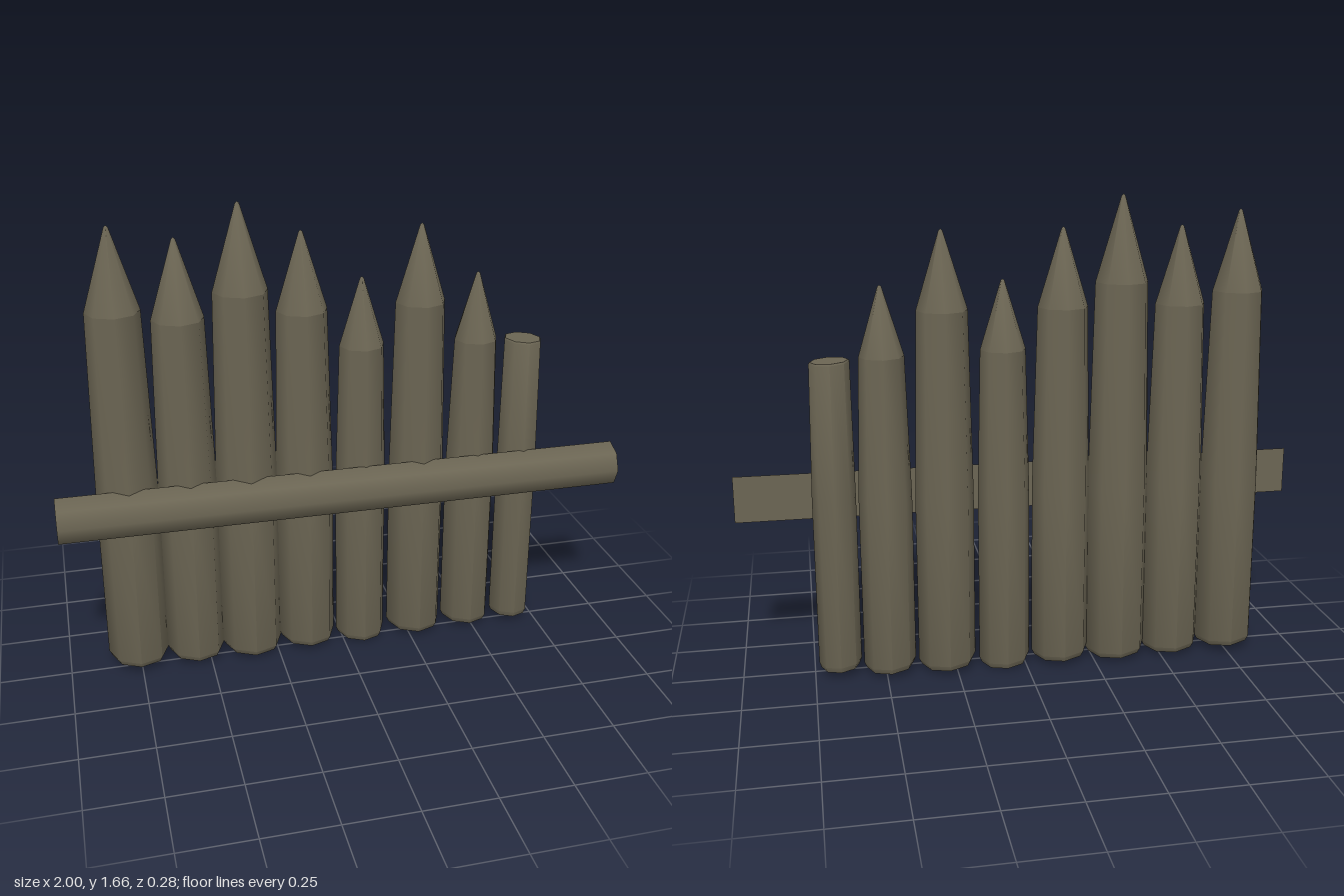
import * as THREE from 'three';
import { toCreasedNormals } from 'three/addons/utils/BufferGeometryUtils.js';

const wood = new THREE.MeshStandardMaterial({ color: 0x6b6553 });
wood.name = 'weatheredWood';

// Each stake: base x, base z, base radius, bottom y, shoulder x, shoulder radius, shoulder y, tip y (0 = sawn flat)
const STAKES = [
  [-0.755, -0.03, 0.107, 0.03, -0.76, 0.091, 1.33, 1.61],
  [-0.547, -0.03, 0.103, 0.02, -0.552, 0.088, 1.29, 1.56],
  [-0.34, -0.029, 0.109, 0.016, -0.343, 0.093, 1.37, 1.665],
  [-0.132, -0.03, 0.103, 0.02, -0.137, 0.088, 1.29, 1.56],
  [0.072, -0.03, 0.091, 0.005, 0.071, 0.079, 1.15, 1.39],
  [0.28, -0.03, 0.102, 0.018, 0.278, 0.088, 1.29, 1.56],
  [0.485, -0.03, 0.092, 0.02, 0.484, 0.077, 1.14, 1.38],
  [0.66, -0.012, 0.075, 0.025, 0.658, 0.068, 1.13, 0],
];

function solid(profile, place) {
  const geo = new THREE.LatheGeometry(profile.map(([r, y]) => new THREE.Vector2(r, y)), 8);
  const p = geo.attributes.position;
  for (let i = 0; i < p.count; i++) p.setXYZ(i, ...place(p.getX(i), p.getY(i), p.getZ(i)));
  return toCreasedNormals(geo, 0.81);
}

function makeStake([x0, z0, r0, y0, x1, r1, y1, tip]) {
  const stake = new THREE.Group();
  stake.name = 'stake';
  // lean the upper part slightly and tilt the sawn ends
  const place = (x, y, z) => {
    const t = THREE.MathUtils.clamp((y - 0.65) / (y1 - 0.65), 0, 1);
    const sawn = y < 0.1 || (!tip && y > y1 - 0.1);
    return [x + x0 + (x1 - x0) * t, y - (sawn ? 0.05 * x : 0), z + z0 + 0.01 * t * (tip ? 1 : 0)];
  };
  const profile = [[0, y0], [r0 * 0.9, y0], [r0, y0 + 0.02], [r0, 0.65], [r1, y1 - (tip ? 0 : 0.006)]];
  if (!tip) profile.push([r1 * 0.95, y1], [0, y1]);
  const shaft = new THREE.Mesh(solid(profile, place), wood);
  shaft.name = 'stakeShaft';
  stake.add(shaft);
  if (tip) {
    const point = new THREE.Mesh(solid([[r1, y1], [0.007, tip - 0.006], [0, tip]], place), wood);
    point.name = 'stakePoint';
    stake.add(point);
  }
  return stake;
}

// Half-round log lying across the front, with a flat back
function makeRail() {
  const rail = new THREE.Group();
  rail.name = 'crossRail';
  const log = new THREE.CylinderGeometry(0.083, 0.083, 2, 4, 1, false, -Math.PI / 2, Math.PI);
  log.rotateZ(Math.PI / 2);
  const front = new THREE.Mesh(log, wood);
  front.name = 'railRound';
  const back = new THREE.Mesh(new THREE.PlaneGeometry(2, 0.166).rotateY(Math.PI), wood);
  back.name = 'railFlatBack';
  rail.add(front, back);
  rail.position.set(0, 0.64, 0.055);
  return rail;
}

export function createModel() {
  const model = new THREE.Group();
  model.name = 'palisade';
  STAKES.forEach((s) => model.add(makeStake(s)));
  model.add(makeRail());
  return model;
}
